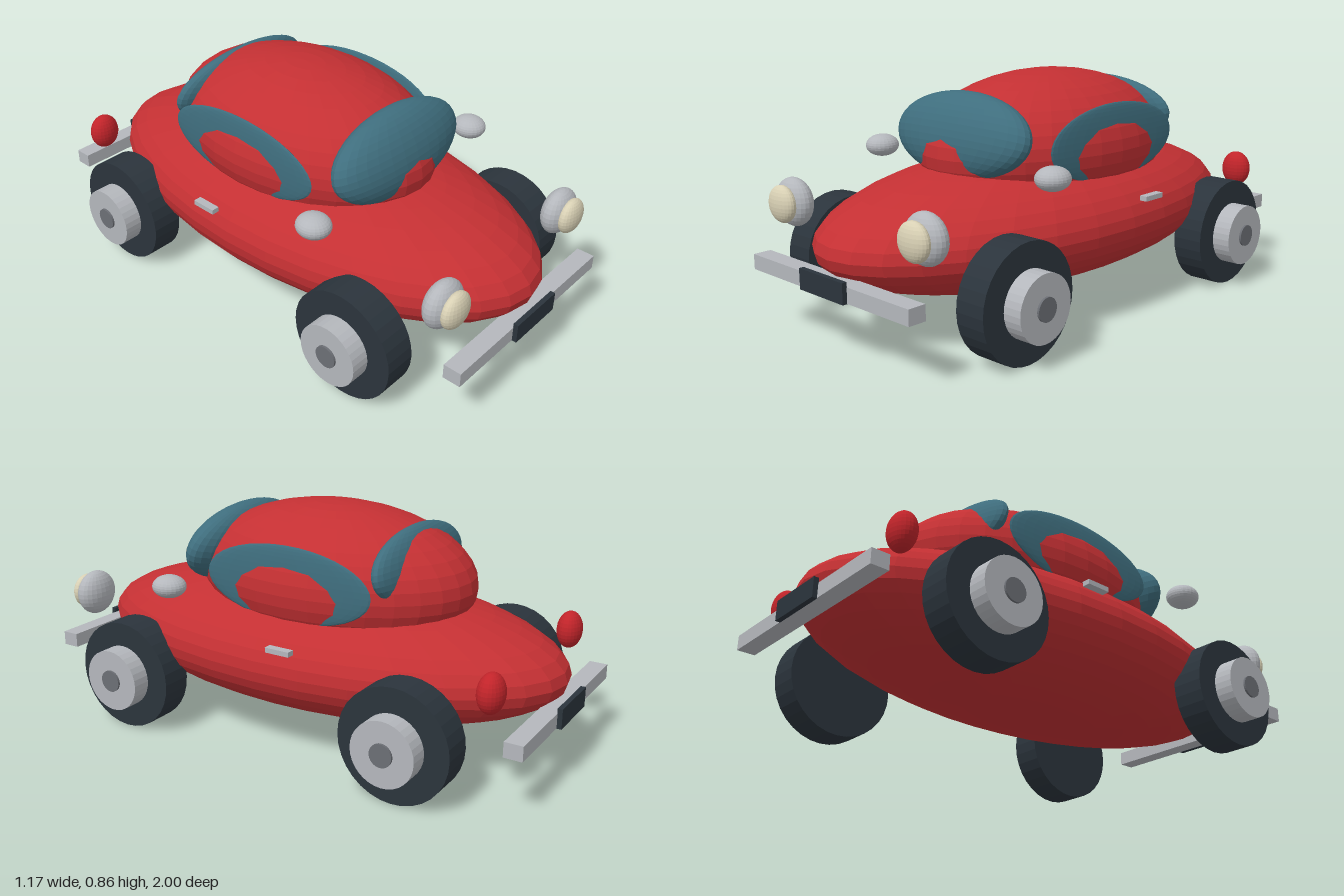
import * as THREE from 'three';

function mat(name, color) {
  const m = new THREE.MeshStandardMaterial({ color, flatShading: true });
  m.name = name;
  return m;
}

export function createModel() {
  const car = new THREE.Group();
  car.name = 'car';
  const red = mat('red paint', 0xc43033);
  const glass = mat('teal glass', 0x3f6e7e);
  const rubber = mat('dark rubber', 0x2b343c);
  const chrome = mat('chrome', 0xb4b7bc);
  const capGrey = mat('cap grey', 0x6c6f75);
  const cream = mat('cream lens', 0xd8d0b4);
  const tail = mat('tail red', 0xc2242a);

  function add(name, geo, material, pos) {
    const mesh = new THREE.Mesh(geo, material);
    mesh.name = name;
    mesh.position.set(...pos);
    car.add(mesh);
    return mesh;
  }
  function ellipsoid(name, material, pos, radii, tilt = 0, seg = 32) {
    const geo = new THREE.SphereGeometry(1, seg, Math.round(seg * 0.625));
    geo.scale(...radii);
    geo.rotateX(tilt);
    return add(name, geo, material, pos);
  }
  const box = (name, material, pos, size) => add(name, new THREE.BoxGeometry(...size), material, pos);
  // cylinder lying along x, between x0 and x1
  function disc(name, material, x0, x1, y, z, r) {
    const geo = new THREE.CylinderGeometry(r, r, Math.abs(x1 - x0), 32);
    geo.rotateZ(Math.PI / 2);
    add(name, geo, material, [(x0 + x1) / 2, y, z]);
  }

  // shell and cabin
  ellipsoid('body', red, [0, 0.333, 0], [0.48, 0.243, 0.972]);
  ellipsoid('cabin', red, [0, 0.588, -0.055], [0.375, 0.27, 0.555]);

  // windscreens bulge out of the cabin
  ellipsoid('windshield', glass, [0, 0.66, 0.38], [0.325, 0.155, 0.097], -0.33);
  ellipsoid('rearWindow', glass, [0, 0.68, -0.4], [0.325, 0.132, 0.062], 0.2);

  for (const s of [1, -1]) {
    const side = s > 0 ? 'left' : 'right';
    ellipsoid(side + 'Window', glass, [s * 0.334, 0.62, -0.055], [0.017, 0.14, 0.34]);
    ellipsoid(side + 'Mirror', chrome, [s * 0.436, 0.568, 0.388], [0.06, 0.042, 0.064], 0, 24);
    box(side + 'DoorHandle', chrome, [s * 0.463, 0.425, -0.112], [0.03, 0.018, 0.096]);

    // lamps
    ellipsoid(side + 'HeadlightShell', chrome, [s * 0.343, 0.445, 0.852], [0.088, 0.086, 0.052], 0, 24);
    ellipsoid(side + 'HeadlightLens', cream, [s * 0.343, 0.445, 0.9], [0.068, 0.066, 0.034], 0, 24);
    ellipsoid(side + 'TailLight', tail, [s * 0.357, 0.4, -0.847], [0.06, 0.07, 0.046], 0, 24);

    // wheels
    for (const z of [0.572, -0.578]) {
      const n = side + (z > 0 ? 'Front' : 'Rear');
      disc(n + 'Tire', rubber, s * 0.387, s * 0.505, 0.205, z, 0.205);
      disc(n + 'Hub', chrome, s * 0.45, s * 0.575, 0.205, z, 0.116);
      disc(n + 'HubCap', capGrey, s * 0.5, s * 0.583, 0.205, z, 0.041);
    }

    // bumpers and plates at both ends
    const end = s > 0 ? 'front' : 'rear';
    box(end + 'Bumper', chrome, [0, 0.245, s * 0.95], [0.816, 0.054, 0.066]);
    box(end + 'Plate', rubber, [0, 0.253, s * 0.991], [0.228, 0.072, 0.018]);
  }
  return car;
}
